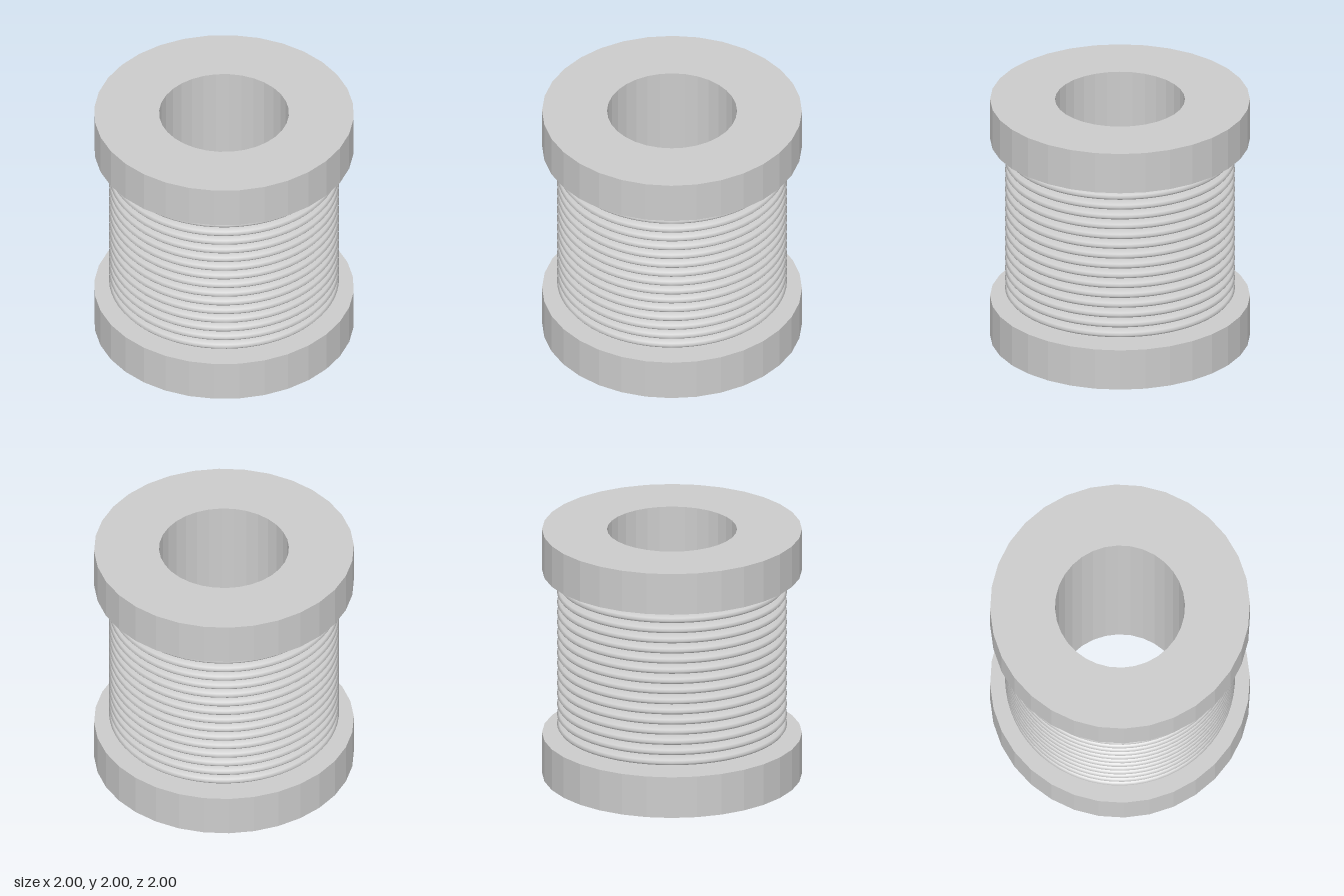
import * as THREE from 'three';

export function createModel() {
  const group = new THREE.Group();
  group.name = 'spool';
  const flat = new THREE.MeshStandardMaterial({ color: 0xcccccc, flatShading: true });
  const smooth = new THREE.MeshStandardMaterial({ color: 0xcccccc });

  const SEGMENTS = 32;
  const BORE = 0.5, CORE = 0.667, FLANGE = 1;
  const FLANGE_HEIGHT = 0.333, HEIGHT = 2;

  function add(name, geometry, material, y = 0) {
    const mesh = new THREE.Mesh(geometry, material);
    mesh.name = name;
    mesh.position.y = y;
    group.add(mesh);
    return mesh;
  }

  // Closed tube turned from a rectangular section
  function tube(inner, outer, height) {
    const section = [[inner, 0], [outer, 0], [outer, height], [inner, height], [inner, 0]];
    return new THREE.LatheGeometry(section.map(([r, y]) => new THREE.Vector2(r, y)), SEGMENTS);
  }

  // End flanges and the hollow core between them
  add('bottomFlange', tube(BORE, FLANGE, FLANGE_HEIGHT), flat);
  add('topFlange', tube(BORE, FLANGE, FLANGE_HEIGHT), flat, HEIGHT - FLANGE_HEIGHT);
  add('core', tube(BORE, CORE, HEIGHT - 2 * FLANGE_HEIGHT), flat, FLANGE_HEIGHT);

  // Stack of flattened winding rings; the highest one tucks into the top flange
  const RINGS = 16, PITCH = 1 / 12, FIRST = 0.404;
  const ring = new THREE.TorusGeometry(0.778, 0.107, 12, 64);
  ring.rotateX(Math.PI / 2);
  ring.scale(1, 0.35, 1);
  for (let i = 0; i < RINGS; i++) add(`windingRing${i + 1}`, ring, smooth, FIRST + i * PITCH);

  return group;
}
